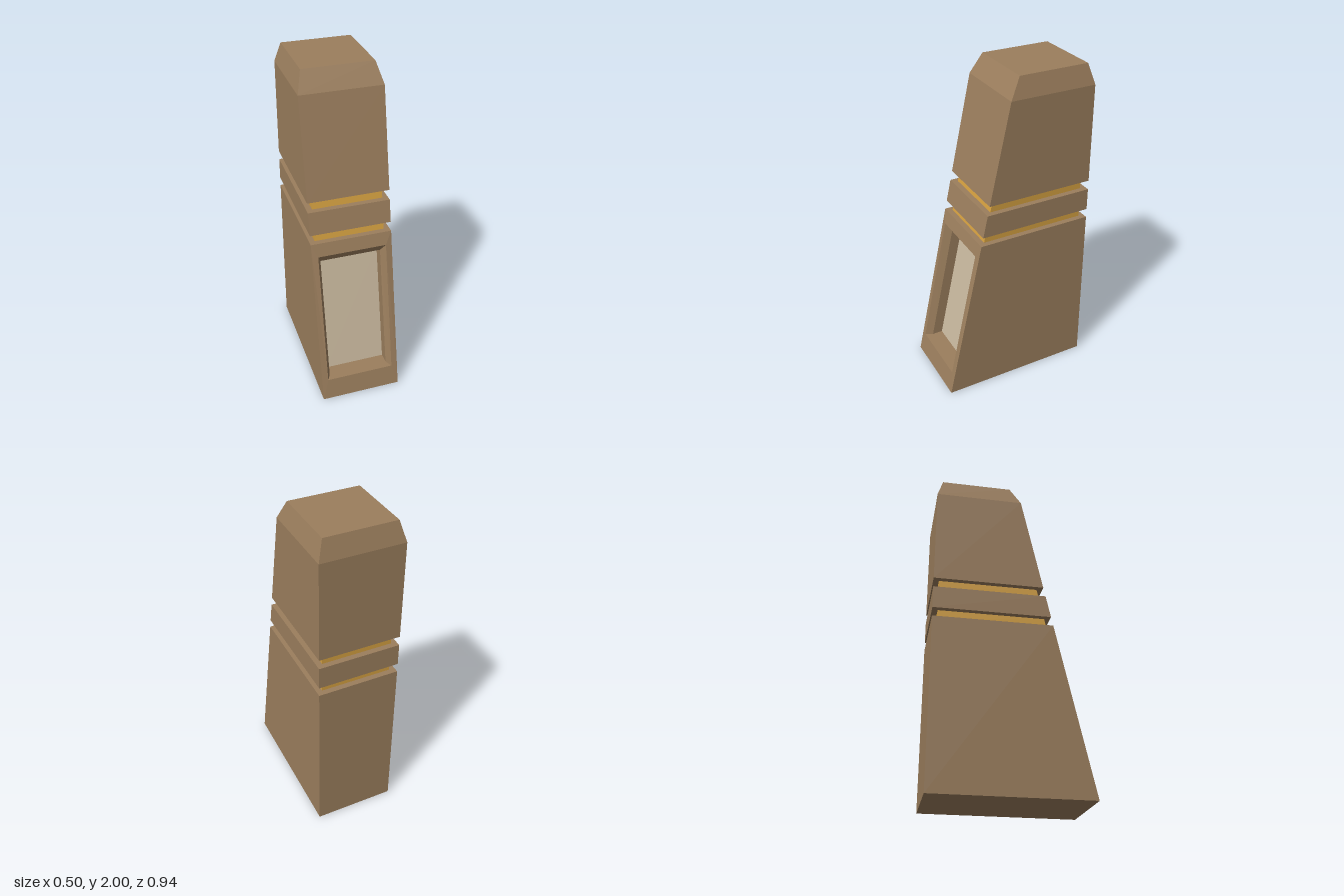
import * as THREE from 'three';

const stone = new THREE.MeshStandardMaterial({ color: 0x9b7e5d, flatShading: true });
const gold = new THREE.MeshStandardMaterial({ color: 0xd4a040, flatShading: true });
const pale = new THREE.MeshStandardMaterial({ color: 0xc8b89e, flatShading: true });

const W = 0.248, BACK = -0.472;
const frontZ = (y) => 0.472 - 0.2207 * y; // sloping front plane

// Joins four-cornered rings into flat-sided walls, with optional end caps
function loft(name, rings, material, { start = false, end = false, skip = -1 } = {}) {
  const pos = [];
  const quad = (a, b, c, d) => pos.push(...a, ...b, ...c, ...a, ...c, ...d);
  for (let r = 0; r < rings.length - 1; r++) {
    const lo = rings[r], hi = rings[r + 1];
    for (let i = 0; i < 4; i++) {
      if (i === skip) continue;
      const j = (i + 1) % 4;
      quad(lo[i], lo[j], hi[j], hi[i]);
    }
  }
  if (start) quad(...[...rings[0]].reverse());
  if (end) quad(...rings[rings.length - 1]);
  const geo = new THREE.BufferGeometry();
  geo.setAttribute('position', new THREE.Float32BufferAttribute(pos, 3));
  geo.computeVertexNormals();
  const mesh = new THREE.Mesh(geo, material);
  mesh.name = name;
  return mesh;
}

// Horizontal ring at height y, inset from the main wedge
const level = (y, inset = 0, zf = frontZ(y) - inset) => {
  const w = W - inset, zb = BACK + inset;
  return [[-w, y, zf], [w, y, zf], [w, y, zb], [-w, y, zb]];
};

// Upright ring facing forward, given its bottom and top edges
const upright = (w, yb, zb, yt, zt) =>
  [[-w, yb, zb], [w, yb, zb], [w, yt, zt], [-w, yt, zt]];

export function createModel() {
  const group = new THREE.Group();
  group.name = 'pylon';
  const closed = { start: true, end: true };

  // Lower body, open at the front where the recessed frame fits
  group.add(loft('lowerBody', [level(0), level(1.03)], stone, { ...closed, skip: 0 }));

  // Front frame: face, bevel and straight reveal
  const panelEdge = upright(0.187, 0.13, 0.335, 0.88, 0.17);
  group.add(loft('frontFrame', [
    upright(W, 0, frontZ(0), 1.03, frontZ(1.03)),
    upright(0.21, 0.13, 0.445, 0.95, 0.267),
    upright(0.187, 0.13, 0.4, 0.895, 0.231),
    panelEdge,
  ], stone));
  group.add(loft('recessedPanel', [panelEdge], pale, { end: true }));

  // Gold bands set into the grooves
  for (const [name, y0, y1] of [['lowerBand', 1.03, 1.085], ['upperBand', 1.222, 1.28]])
    group.add(loft(name, [level(y0, 0.034), level(y1, 0.034)], gold));

  // Middle collar and bevelled top block
  group.add(loft('collar', [level(1.085), level(1.222)], stone, closed));
  group.add(loft('topBlock', [level(1.28), level(1.88), level(2, 0.034, -0.01)], stone, closed));

  return group;
}
